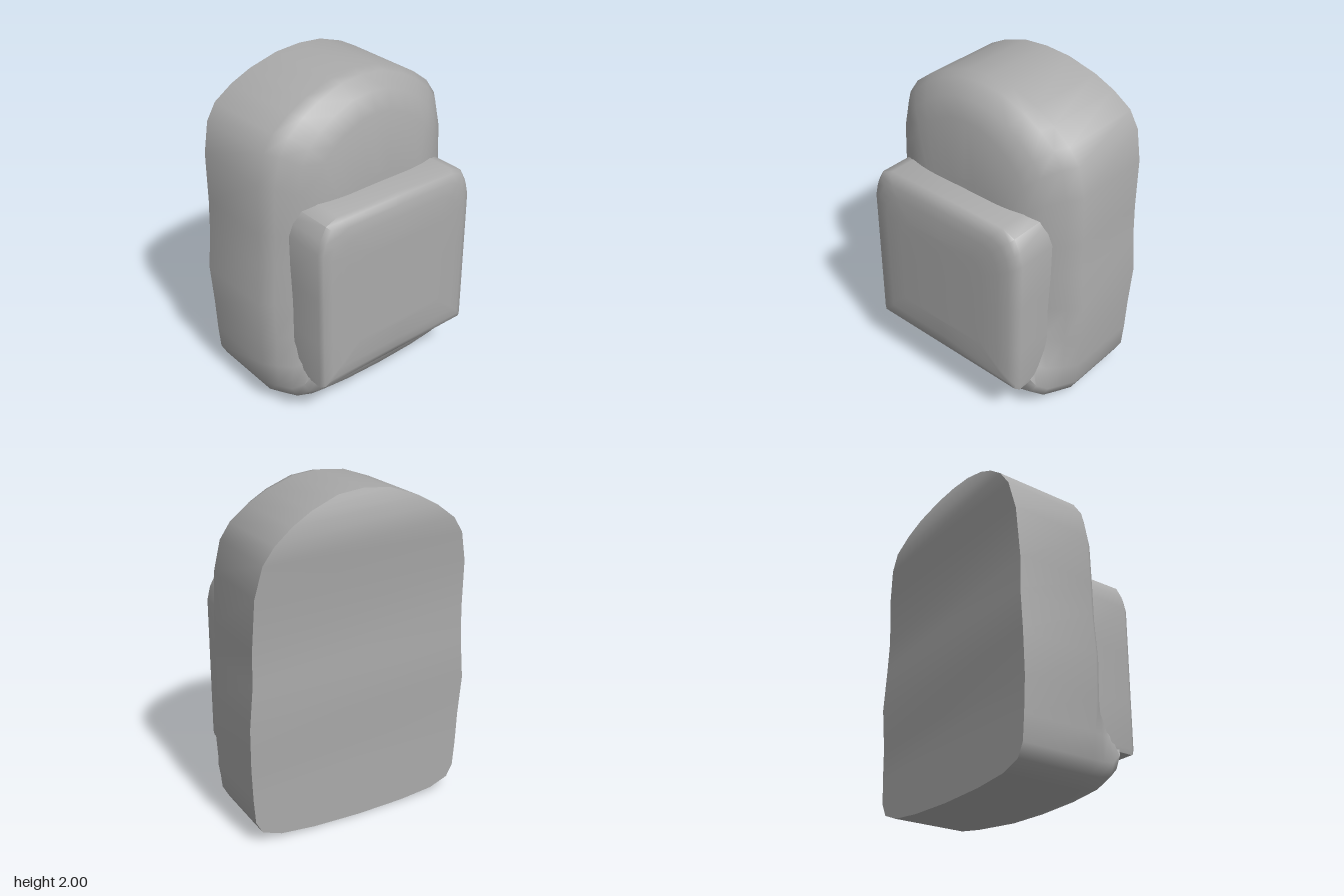
import * as THREE from 'three';
import { toCreasedNormals } from 'three/addons/utils/BufferGeometryUtils.js';

// Linear lookup in a list of [key, value] pairs
function lookup(table, k) {
  for (let i = 1; i < table.length; i++) {
    const [k0, v0] = table[i - 1], [k1, v1] = table[i];
    if (k <= k1) return v0 + (v1 - v0) * Math.max(0, (k - k0) / (k1 - k0));
  }
  return table[table.length - 1][1];
}

// Skin stacked rows; each row is the +z half of a loop, from back to front, and is mirrored to -z
function skin(rows, crease) {
  const pos = [], index = [];
  const n = rows[0].length * 2;
  for (const row of rows) {
    for (const [x, y, z] of row) pos.push(x, y, z);
    for (const [x, y, z] of [...row].reverse()) pos.push(x, y, -z);
  }
  for (let i = 0; i < rows.length - 1; i++) {
    for (let j = 0; j < n; j++) {
      const a = i * n + j, b = i * n + (j + 1) % n;
      index.push(a, b, b + n, a, b + n, a + n);
    }
  }
  const geo = new THREE.BufferGeometry();
  geo.setAttribute('position', new THREE.Float32BufferAttribute(pos, 3));
  geo.setIndex(index);
  return toCreasedNormals(geo, crease);
}

function bodyGeometry() {
  // Half outline [z, y], from the middle of the base to the top of the arch
  const outline = [
    [0, 0], [0.3, 0.008], [0.52, 0.03], [0.64, 0.075], [0.68, 0.15], [0.692, 0.3], [0.7, 0.5],
    [0.708, 0.75], [0.685, 1], [0.68, 1.2], [0.668, 1.5], [0.625, 1.68], [0.56, 1.775],
    [0.45, 1.86], [0.33, 1.925], [0.16, 1.985], [0, 2],
  ];
  const back = [[0, -0.43], [0.5, -0.43], [0.8, -0.45], [1.2, -0.44], [1.5, -0.46],
    [1.77, -0.488], [1.9, -0.47], [2, -0.435]];
  // Rounding toward the front: [x, width scale, height scale]
  const upper = [[0.05, 1, 1], [0.12, 0.91, 0.985], [0.2, 0.77, 0.91], [0.245, 0.65, 0.8], [0.277, 0.49, 0.45]];
  const lower = [[0.03, 1, 1], [0.13, 0.95, 0.98], [0.23, 0.91, 0.95], [0.305, 0.86, 0.88], [0.347, 0.8, 0.78]];

  const rows = outline.map(([z, y]) => {
    const bulge = 1 - THREE.MathUtils.smoothstep(y, 0.12, 0.55);
    const row = [[lookup(back, y), y, z]];
    upper.forEach((u, k) => {
      const l = lower[k];
      const x = THREE.MathUtils.lerp(u[0], l[0], bulge);
      const width = THREE.MathUtils.lerp(u[1], l[1], bulge);
      const height = y < 1 ? l[2] : u[2];
      row.push([x, 1 + (y - 1) * height, z * width]);
    });
    return row;
  });
  return skin(rows, 0.95);
}

function pocketGeometry() {
  // Half outline [z, y] with square lower and rounded upper corners
  const outline = [
    [0, 0.29], [0.555, 0.29], [0.56, 0.32], [0.56, 0.6], [0.56, 0.9], [0.56, 1.2],
    [0.54, 1.28], [0.5, 1.355], [0.42, 1.387], [0, 1.39],
  ];
  const steps = [[0.42, 1], [0.447, 0.97], [0.466, 0.89], [0.477, 0.77], [0.483, 0.55]];
  const midY = 0.84;
  const rows = outline.map(([z, y]) => [
    [0.05, y, z],
    ...steps.map(([x, s]) => [x, midY + (y - midY) * s, z * s]),
  ]);
  return skin(rows, 0.8);
}

export function createModel() {
  const group = new THREE.Group();
  group.name = 'backpack';
  const fabric = new THREE.MeshStandardMaterial({ color: 0xaaaaaa });
  fabric.name = 'grey fabric';

  // Main bag with flat back, arched top and bulging base
  const body = new THREE.Mesh(bodyGeometry(), fabric);
  body.name = 'body';

  // Padded pocket on the outer face
  const pocket = new THREE.Mesh(pocketGeometry(), fabric);
  pocket.name = 'pocket';

  group.add(body, pocket);
  return group;
}
